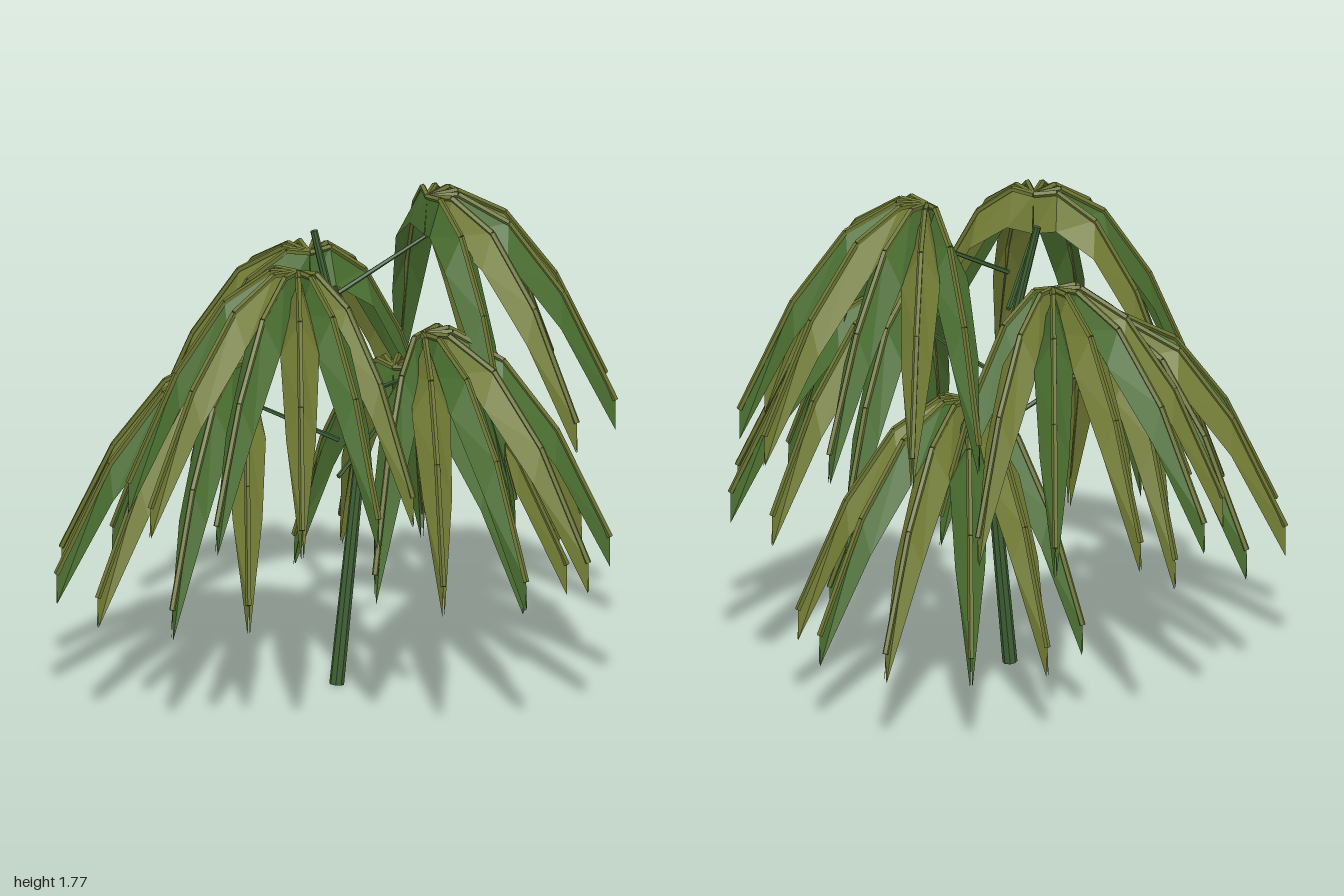
import * as THREE from 'three';

const material = (name, color, extra = {}) => {
  const m = new THREE.MeshStandardMaterial({ color, flatShading: true, ...extra });
  m.name = name;
  return m;
};

// Leaflet stations: reach, ridge height, drop from ridge to edge, half width
const STATIONS = [
  [0.00, -0.01, 0.14, 0.012],
  [0.11, 0.00, 0.13, 0.045],
  [0.29, -0.10, 0.12, 0.068],
  [0.48, -0.35, 0.12, 0.052],
  [0.67, -0.74, 0.11, 0.004],
];

// Tapered round bar between two points
function bar(name, a, b, r0, r1, sides, mat) {
  const dir = b.clone().sub(a);
  const mesh = new THREE.Mesh(new THREE.CylinderGeometry(r1, r0, dir.length(), sides), mat);
  mesh.position.copy(a).add(b).multiplyScalar(0.5);
  mesh.quaternion.setFromUnitVectors(new THREE.Vector3(0, 1, 0), dir.normalize());
  mesh.name = name;
  return mesh;
}

// Tent-folded blade: left edge, ridge, right edge at every station
function bladeGeometry(reach) {
  const pos = [], index = [];
  for (const [r, y, drop, w] of STATIONS) {
    const x = r * reach;
    pos.push(x, y - drop, -w, x, y, 0, x, y - drop, w);
  }
  for (let i = 0; i < STATIONS.length - 1; i++) {
    for (let k = 0; k < 2; k++) {
      const a = i * 3 + k, b = a + 1, c = a + 3, d = a + 4;
      index.push(a, b, c, b, d, c);
    }
  }
  const geo = new THREE.BufferGeometry();
  geo.setAttribute('position', new THREE.Float32BufferAttribute(pos, 3));
  geo.setIndex(index);
  geo.computeVertexNormals();
  return geo;
}

export function createModel() {
  const olive = material('olive leaf', 0x737d35, { side: THREE.DoubleSide });
  const green = material('green leaf', 0x4a6e30, { side: THREE.DoubleSide });
  const ribMat = material('leaf rib', 0x6a7332);
  const stemMat = material('stem', 0x3f6034);
  const model = new THREE.Group();
  model.name = 'palm';

  // Bent stem
  const stem = new THREE.Group();
  stem.name = 'stem';
  const base = new THREE.Vector3(-0.008, 0.002, 0);
  const bend = new THREE.Vector3(0.105, 0.9, 0);
  const top = new THREE.Vector3(-0.008, 1.63, -0.13);
  stem.add(bar('lowerStem', base, bend, 0.026, 0.02, 8, stemMat));
  stem.add(bar('upperStem', bend, top, 0.02, 0.013, 8, stemMat));
  model.add(stem);

  // Fronds spiral down the axis by the golden angle
  const blades = [1, 0.98, 0.9, 0.74].map(bladeGeometry);
  const greenCentre = [false, true, false, false, true, false];
  for (let f = 0; f < 6; f++) {
    const angle = THREE.MathUtils.degToRad(15 + f * 137.5);
    const topY = 1.755 - f * 0.135;
    const frond = new THREE.Group();
    frond.name = 'frond';
    frond.rotation.y = -angle;
    frond.position.y = topY;
    frond.add(bar('leafStalk', new THREE.Vector3(0, -0.32, 0),
      new THREE.Vector3(0.335, -0.15, 0), 0.009, 0.007, 5, stemMat));

    // Seven leaflets in a fan, alternating in colour
    for (let i = -3; i <= 3; i++) {
      const n = Math.abs(i);
      const leaflet = new THREE.Group();
      leaflet.name = 'leaflet';
      leaflet.position.x = 0.335;
      leaflet.rotation.y = -THREE.MathUtils.degToRad(i * 26.4);
      const isGreen = (n % 2 === 1) !== greenCentre[f];
      const blade = new THREE.Mesh(blades[n], isGreen ? green : olive);
      blade.name = 'blade';
      leaflet.add(blade);
      const reach = [1, 0.98, 0.9, 0.74][n];
      const pts = STATIONS.map(([r, y]) => new THREE.Vector3(r * reach, y, 0));
      for (let k = 0; k < pts.length - 1; k++) {
        leaflet.add(bar('rib', pts[k], pts[k + 1], 0.011, 0.011, 5, ribMat));
      }
      frond.add(leaflet);
    }
    model.add(frond);
  }
  return model;
}
